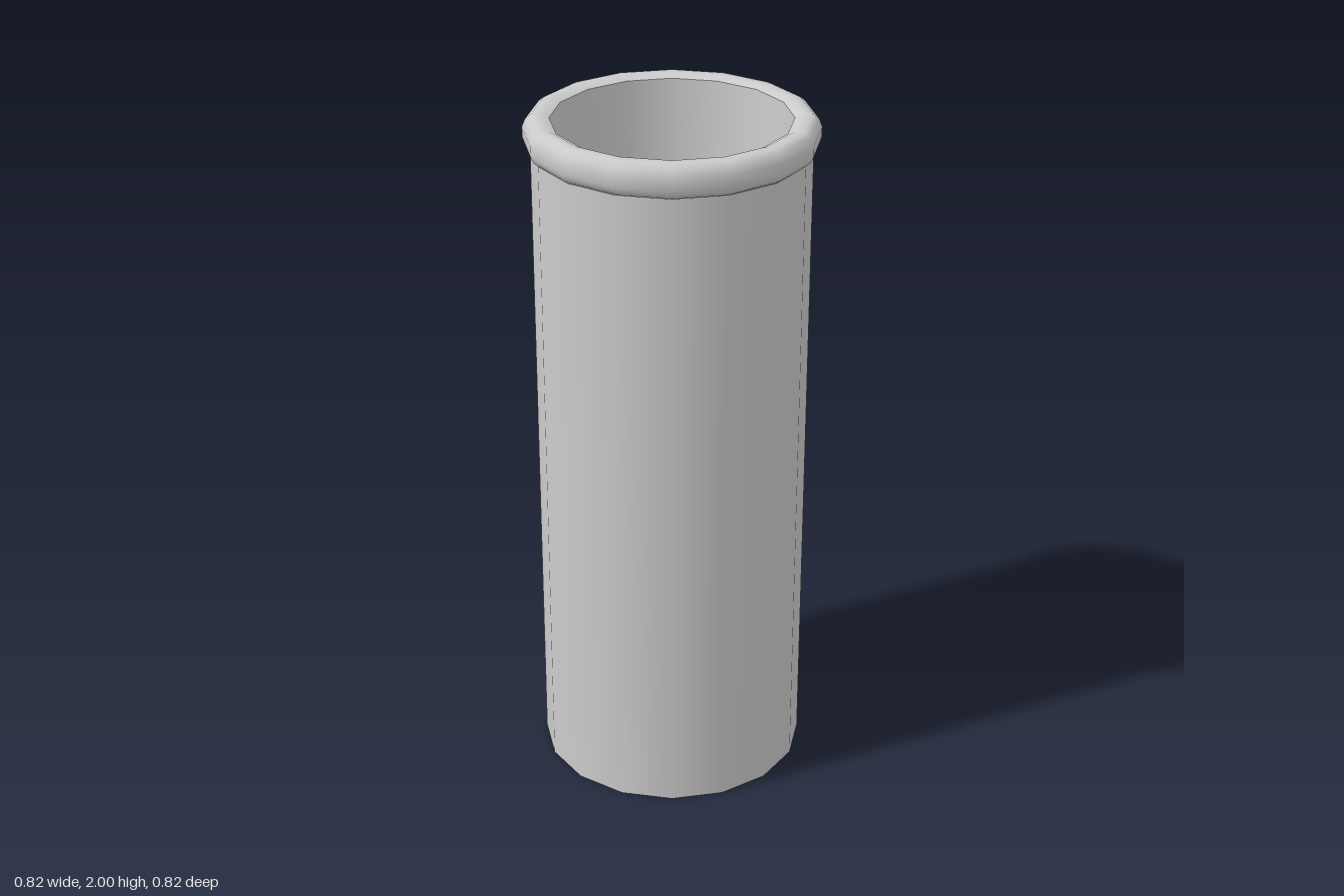
import * as THREE from 'three';

const SIDES = 16;
const FLOOR_Y = 1.2;
const FLOOR_R = 0.306;

const material = new THREE.MeshStandardMaterial({ color: 0xcccccc, side: THREE.DoubleSide });

// Revolves a [radius, height] profile around the vertical axis
function revolve(name, profile) {
  const points = profile.map(([r, y]) => new THREE.Vector2(r, y));
  const mesh = new THREE.Mesh(new THREE.LatheGeometry(points, SIDES), material);
  mesh.name = name;
  return mesh;
}

export function createModel() {
  const group = new THREE.Group();
  group.name = 'pipe';

  // Straight outer wall, open at the bottom
  group.add(revolve('outerWall', [[0.39, 0], [0.39, 1.905]]));

  // Rounded lip around the mouth
  group.add(revolve('rim', [
    [0.388, 1.905], [0.402, 1.915], [0.411, 1.935], [0.411, 1.965],
    [0.402, 1.987], [0.385, 2], [0.358, 2], [0.336, 1.99],
  ]));

  // Slightly tapered inner wall
  group.add(revolve('innerWall', [[0.336, 1.99], [FLOOR_R, FLOOR_Y]]));

  // Flat floor closing the bore
  const floor = new THREE.Mesh(new THREE.CircleGeometry(FLOOR_R, SIDES), material);
  floor.name = 'innerFloor';
  floor.rotation.x = -Math.PI / 2;
  floor.position.y = FLOOR_Y;
  group.add(floor);

  return group;
}
